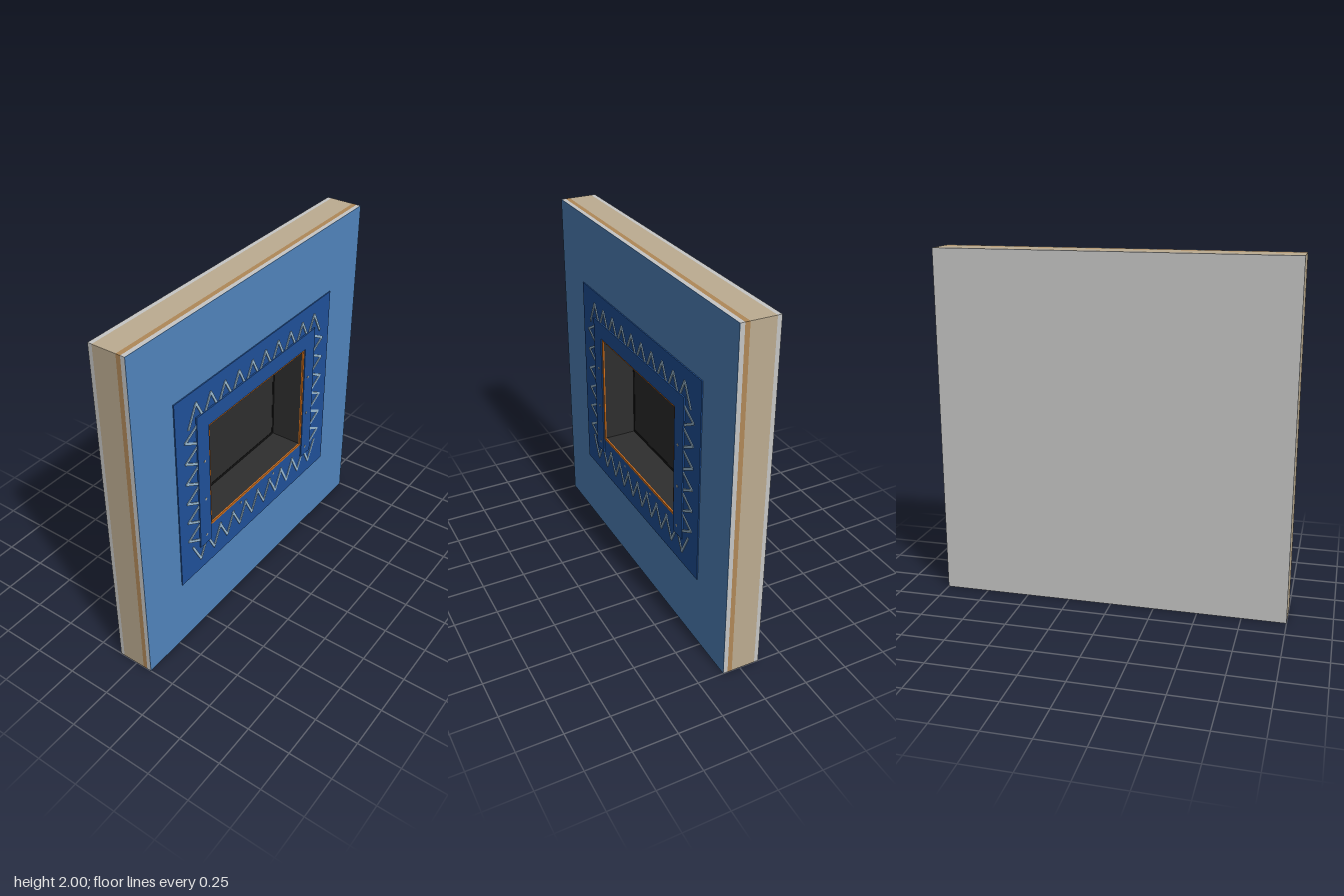
import * as THREE from 'three';

const mat = (name, color) => {
  const m = new THREE.MeshStandardMaterial({ color });
  m.name = name;
  return m;
};

// Rectangle points, counter-clockwise
const rect = (x0, y0, x1, y1) =>
  [[x0, y0], [x1, y0], [x1, y1], [x0, y1]].map(([x, y]) => new THREE.Vector2(x, y));

export function createModel() {
  const model = new THREE.Group();
  model.name = 'wallSection';

  const board = mat('grey board', 0xc6c6c5);
  const core = mat('tan core', 0xbcac91);
  const sheathing = mat('brown sheathing', 0xb08858);
  const wrap = mat('light blue wrap', 0x5286be);
  const flashing = mat('dark blue flashing', 0x20529b);
  const stitch = mat('pale blue stitching', 0x9dbdd4);
  const trim = mat('orange trim', 0xd2701c);
  const lining = mat('charcoal lining', 0x2e2e2e);
  const gasket = mat('black gasket', 0x141414);
  const nail = mat('nail grey', 0xa8a8a0);

  const add = (name, geometry, material) => {
    const mesh = new THREE.Mesh(geometry, material);
    mesh.name = name;
    model.add(mesh);
    return mesh;
  };

  // Flat slab between z0 and z1, with an optional rectangular hole
  const slab = (name, outer, hole, z0, z1, material) => {
    const shape = new THREE.Shape(rect(...outer));
    if (hole) shape.holes.push(new THREE.Path(rect(...hole)));
    const g = new THREE.ExtrudeGeometry(shape, { depth: z1 - z0, bevelEnabled: false });
    g.translate(0, 0, z0);
    return add(name, g, material);
  };

  // Wall layers, from back to front
  const wall = [-1, 0, 1, 2];
  const opening = [-0.45, 0.665, 0.45, 1.335];
  slab('backBoard', wall, null, -0.114, -0.09, board);
  slab('insulationCore', wall, opening, -0.09, 0.048, core);
  slab('sheathingLayer', wall, opening, 0.048, 0.074, sheathing);
  slab('frontBoard', wall, opening, 0.074, 0.098, board);
  slab('weatherWrap', wall, opening, 0.098, 0.1, wrap);

  // Recess: side lining, back panel and dark perimeter line
  slab('recessLining', opening, [-0.438, 0.677, 0.438, 1.323], -0.09, 0.1, lining);
  slab('recessBack', [-0.438, 0.677, 0.438, 1.323], null, -0.09, -0.086, lining);
  slab('recessGasket', [-0.438, 0.677, 0.438, 1.323], [-0.425, 0.692, 0.425, 1.31], -0.086, -0.084, gasket);
  slab('openingTrim', opening, [-0.437, 0.678, 0.437, 1.322], 0.1, 0.108, trim);

  // Flashing sheet and raised flanges on the top and sides
  slab('flashingSheet', [-0.705, 0.415, 0.705, 1.59], opening, 0.1, 0.106, flashing);
  slab('topFlange', [-0.545, 1.335, 0.545, 1.43], null, 0.106, 0.114, flashing);
  for (const s of [-1, 1]) {
    const x0 = s < 0 ? -0.545 : 0.45;
    slab(s < 0 ? 'rightFlange' : 'leftFlange', [x0, 0.575, x0 + 0.095, 1.335], null, 0.106, 0.114, flashing);
  }

  // One zigzag stroke: a flat bar from a to b
  const strokes = new THREE.Group();
  strokes.name = 'zigzagStitching';
  model.add(strokes);
  const stroke = (ax, ay, bx, by) => {
    const length = Math.hypot(bx - ax, by - ay);
    const mesh = new THREE.Mesh(new THREE.BoxGeometry(length + 0.006, 0.014, 0.005), stitch);
    mesh.name = 'stitch';
    mesh.position.set((ax + bx) / 2, (ay + by) / 2, 0.1075);
    mesh.rotation.z = Math.atan2(by - ay, bx - ax);
    strokes.add(mesh);
  };

  // Upper and lower rows; the flanges cover their inner ends
  for (let i = 0; i < 10; i++) {
    const x = -0.54 + i * 0.12;
    for (const s of [-1, 1]) {
      stroke(x + s * 0.064, 1.39, x, 1.515);
      stroke(x + s * 0.064, 0.615, x, 0.49);
    }
  }
  // Side rows
  for (let i = 0; i < 6; i++) {
    const y = 0.68 + i * 0.129;
    for (const side of [-1, 1]) {
      for (const s of [-1, 1]) stroke(side * 0.53, y + s * 0.06, side * 0.635, y);
    }
  }

  // Nail heads
  const nails = [[-0.165, 0.63, 0.106], [0.16, 0.63, 0.106]];
  for (const s of [-1, 1]) for (const y of [0.63, 0.88, 1.13]) nails.push([s * 0.49, y, 0.114]);
  const head = new THREE.CylinderGeometry(0.008, 0.008, 0.002, 10).rotateX(Math.PI / 2);
  for (const [x, y, z] of nails) add('nailHead', head, nail).position.set(x, y, z + 0.0005);

  return model;
}
